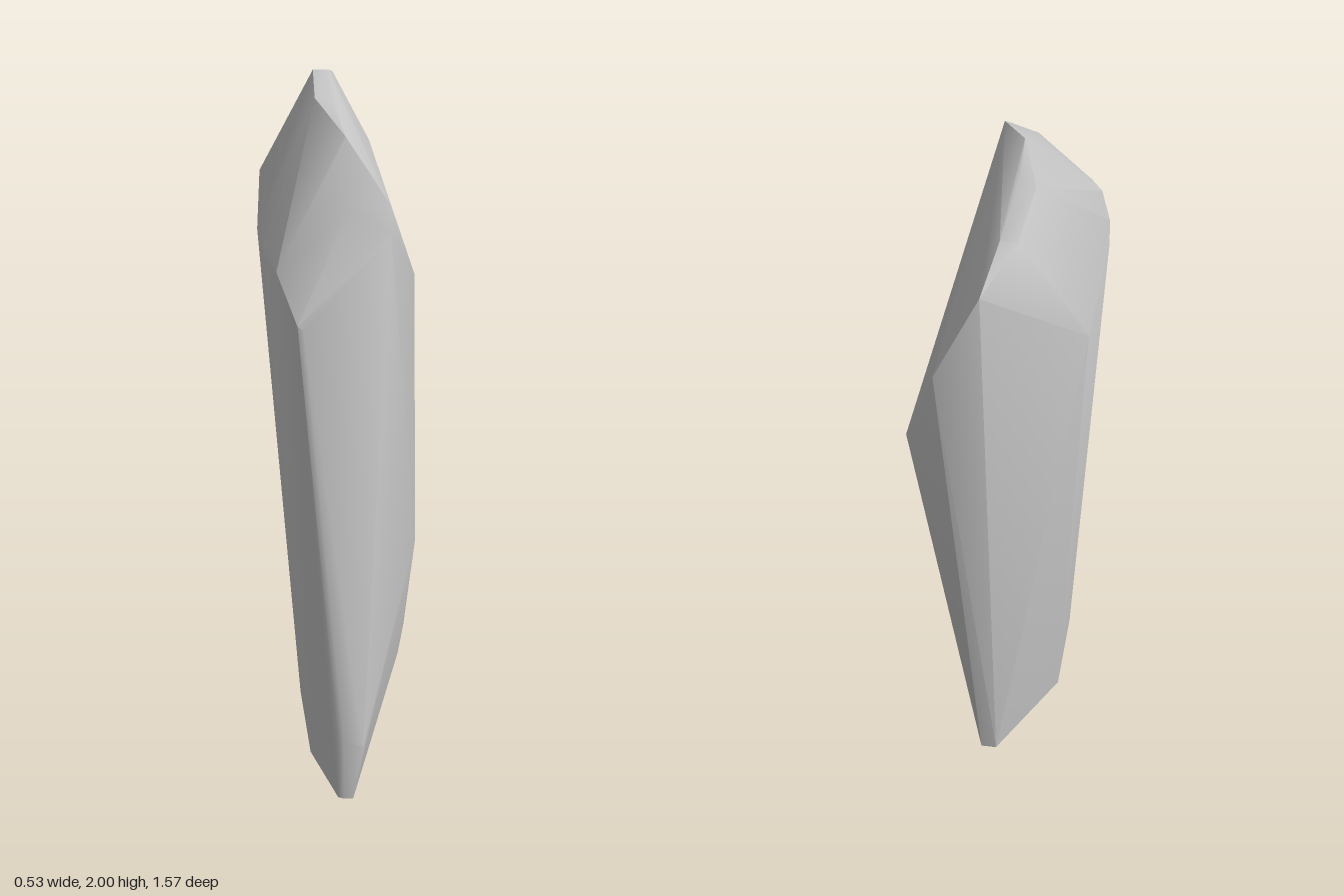
import * as THREE from 'three';
import { ConvexGeometry } from 'three/addons/geometries/ConvexGeometry.js';
import { toCreasedNormals } from 'three/addons/utils/BufferGeometryUtils.js';

// Corners of the standing slab, grouped by where they sit
const corners = {
  foot: [
    [-0.16, 0, -0.15], [-0.16, 0, 0.18], [-0.13, 0, 0.5], [0, 0, 0.5],
    [0, 0.05, -0.54], [0.05, 0.05, -0.54],
  ],
  // the front edge has a narrow bevel on its right side
  frontEdge: [
    [-0.03, 0.05, 0.786], [0, 0.05, 0.786], [-0.03, 0.28, 0.786], [0.03, 0.25, 0.78],
    [-0.047, 0.05, 0.779], [-0.047, 0.28, 0.779],
    [-0.135, 1.6, 0.632], [-0.152, 1.61, 0.624], [0.11, 1.84, 0.53],
  ],
  leftFlank: [
    [0.265, 1.29, -0.5], [0.197, 0.84, 0.53], [0.19, 0.33, 0.25], [0.16, 0.34, 0.42],
  ],
  rightFlank: [
    [-0.27, 1.68, -0.5], [-0.27, 1.68, 0.05], [-0.255, 1.68, 0.2], [-0.21, 1.68, 0.4],
  ],
  crest: [
    [-0.015, 1.94, -0.785], [0.115, 1.69, -0.785],
    [-0.085, 2, -0.58], [-0.035, 2, -0.58], [-0.085, 2, -0.25], [-0.03, 2, -0.2],
    [0, 1.985, 0.1], [0, 1.87, 0.4], [0.115, 1.89, 0.43],
  ],
};

export function createModel() {
  const group = new THREE.Group();
  group.name = 'rock';

  const stone = new THREE.MeshStandardMaterial({ color: 0xc6c6c6 });
  stone.name = 'grey stone';

  // Wrap the corners in a hull; soften shallow bends and keep sharp ones crisp
  const points = Object.values(corners).flat().map((p) => new THREE.Vector3(...p));
  const geometry = toCreasedNormals(new ConvexGeometry(points), THREE.MathUtils.degToRad(42));

  const slab = new THREE.Mesh(geometry, stone);
  slab.name = 'rockSlab';
  group.add(slab);
  return group;
}
